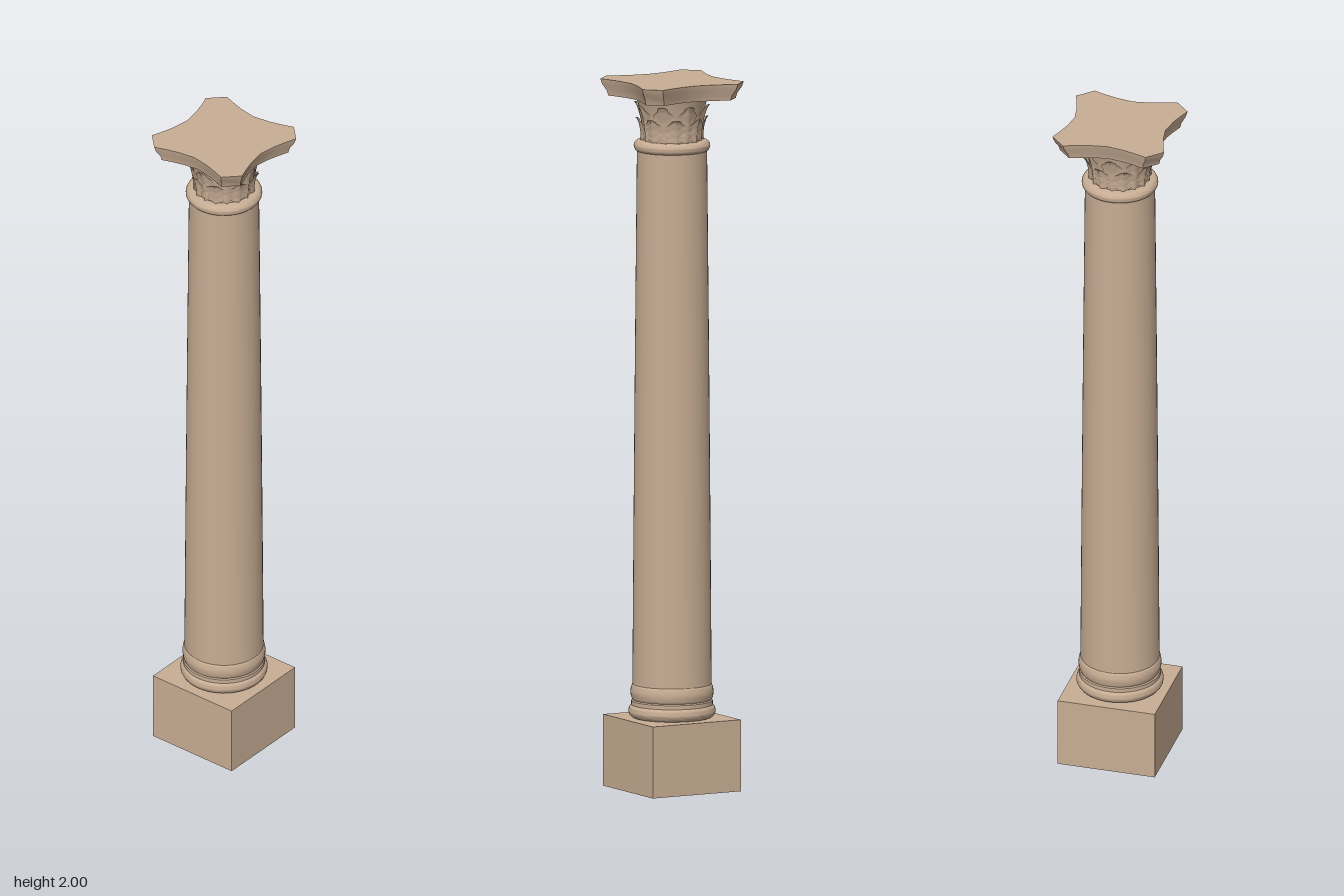
import * as THREE from 'three';
import { toCreasedNormals } from 'three/addons/utils/BufferGeometryUtils.js';

const stone = new THREE.MeshStandardMaterial({ color: 0xc8ad94 });
const leafStone = new THREE.MeshStandardMaterial({ color: 0xc8ad94, side: THREE.DoubleSide });

function part(name, geometry, material = stone) {
  const mesh = new THREE.Mesh(geometry, material);
  mesh.name = name;
  return mesh;
}

// Turned part from [radius, height] pairs, listed from bottom to top
function turned(name, profile) {
  const points = profile.map(([r, y]) => new THREE.Vector2(r, y));
  return part(name, toCreasedNormals(new THREE.LatheGeometry(points, 48), 0.7));
}

// Half-round moulding between two heights
function roll(name, y0, y1, inner, outer) {
  const profile = [[0, y0]];
  for (let i = 0; i <= 10; i++) {
    const a = -Math.PI / 2 + (i / 10) * Math.PI;
    profile.push([inner + (outer - inner) * Math.cos(a), (y0 + y1) / 2 + ((y1 - y0) / 2) * Math.sin(a)]);
  }
  profile.push([0, y1]);
  return turned(name, profile);
}

const BELL_BOTTOM = 1.828, BELL_TOP = 1.957;
function bellRadius(y) {
  const t = (y - BELL_BOTTOM) / (BELL_TOP - BELL_BOTTOM);
  return 0.08 + 0.022 * t * t;
}

// Lobed leaf wrapped round the bell, its tip curling outward
function leafGeometry(y0, height, halfWidth, lift, curl) {
  const geo = new THREE.PlaneGeometry(2, 1, 6, 28);
  const pos = geo.attributes.position;
  for (let i = 0; i < pos.count; i++) {
    const u = pos.getX(i), t = pos.getY(i) + 0.5;
    const lobe = 0.68 + 0.32 * Math.abs(Math.sin(t * Math.PI * 3.5 + 0.6));
    const taper = Math.sqrt(Math.max(0, 1 - Math.pow(t, 3))) * (0.7 + 0.5 * Math.sin(t * Math.PI));
    const x = u * halfWidth * lobe * taper;
    // side lobes point upward, the tip drops slightly
    const y = y0 + height * (t + 0.09 * Math.abs(u) * (1 - t) - 0.1 * Math.pow(t, 6));
    const rib = 0.004 * (1 - Math.abs(u)) + 0.002 * Math.cos(u * Math.PI * 2);
    const r = bellRadius(y) + lift + rib + curl * Math.pow(t, 4);
    const a = x / 0.09;
    pos.setXYZ(i, r * Math.sin(a), y, r * Math.cos(a));
  }
  geo.computeVertexNormals();
  return geo;
}

function leafRow(name, count, offset, geo) {
  const row = new THREE.Group();
  row.name = name;
  for (let i = 0; i < count; i++) {
    const leaf = part('leaf', geo, leafStone);
    leaf.rotation.y = ((i + offset) / count) * Math.PI * 2;
    row.add(leaf);
  }
  return row;
}

// Concave-sided slab with cut corners, narrowing toward its underside
function abacusGeometry() {
  const side = [[-0.12, 0.162], [-0.085, 0.15], [-0.05, 0.14], [0, 0.132], [0.05, 0.14], [0.085, 0.15], [0.12, 0.162]];
  const outline = [];
  for (let k = 0; k < 4; k++) {
    const c = Math.round(Math.cos(k * Math.PI / 2)), s = Math.round(Math.sin(k * Math.PI / 2));
    for (const [x, z] of side) outline.push(new THREE.Vector2(c * x + s * z, -s * x + c * z));
  }
  const levels = [[1.953, 0.89], [1.967, 0.91], [1.985, 0.975], [2, 1]];
  const geo = new THREE.ExtrudeGeometry(new THREE.Shape(outline), { depth: 3, steps: 3, bevelEnabled: false });
  geo.rotateX(-Math.PI / 2);
  const pos = geo.attributes.position;
  for (let i = 0; i < pos.count; i++) {
    const [y, scale] = levels[Math.round(pos.getY(i))];
    pos.setXYZ(i, pos.getX(i) * scale, y, pos.getZ(i) * scale);
  }
  return toCreasedNormals(geo, 0.5);
}

export function createModel() {
  const column = new THREE.Group();
  column.name = 'column';

  // Base
  const plinth = part('plinth', new THREE.BoxGeometry(0.282, 0.202, 0.282));
  plinth.position.y = 0.101;
  column.add(plinth);
  column.add(roll('lowerBaseRoll', 0.202, 0.242, 0.104, 0.122));
  column.add(turned('baseFillet', [[0.114, 0.238], [0.114, 0.25], [0.109, 0.255]]));
  column.add(roll('upperBaseRoll', 0.25, 0.3, 0.106, 0.116));

  // Shaft with a slight swelling
  const shaft = [];
  for (let i = 0; i <= 12; i++) {
    const t = i / 12;
    shaft.push([0.111 - 0.01 * t - 0.003 * t * t, 0.24 + 1.565 * t]);
  }
  column.add(turned('shaft', shaft));
  column.add(roll('neckRoll', 1.8, 1.832, 0.092, 0.107));

  // Capital
  const bell = [];
  for (let i = 0; i <= 8; i++) {
    const y = BELL_BOTTOM + (BELL_TOP - BELL_BOTTOM) * (i / 8);
    bell.push([bellRadius(y), y]);
  }
  column.add(turned('bell', bell));
  column.add(leafRow('upperLeaves', 8, 0, leafGeometry(1.83, 0.118, 0.03, 0, 0.009)));
  column.add(leafRow('lowerLeaves', 8, 0.5, leafGeometry(1.83, 0.075, 0.03, 0.002, 0.009)));
  column.add(part('abacus', abacusGeometry()));

  return column;
}
